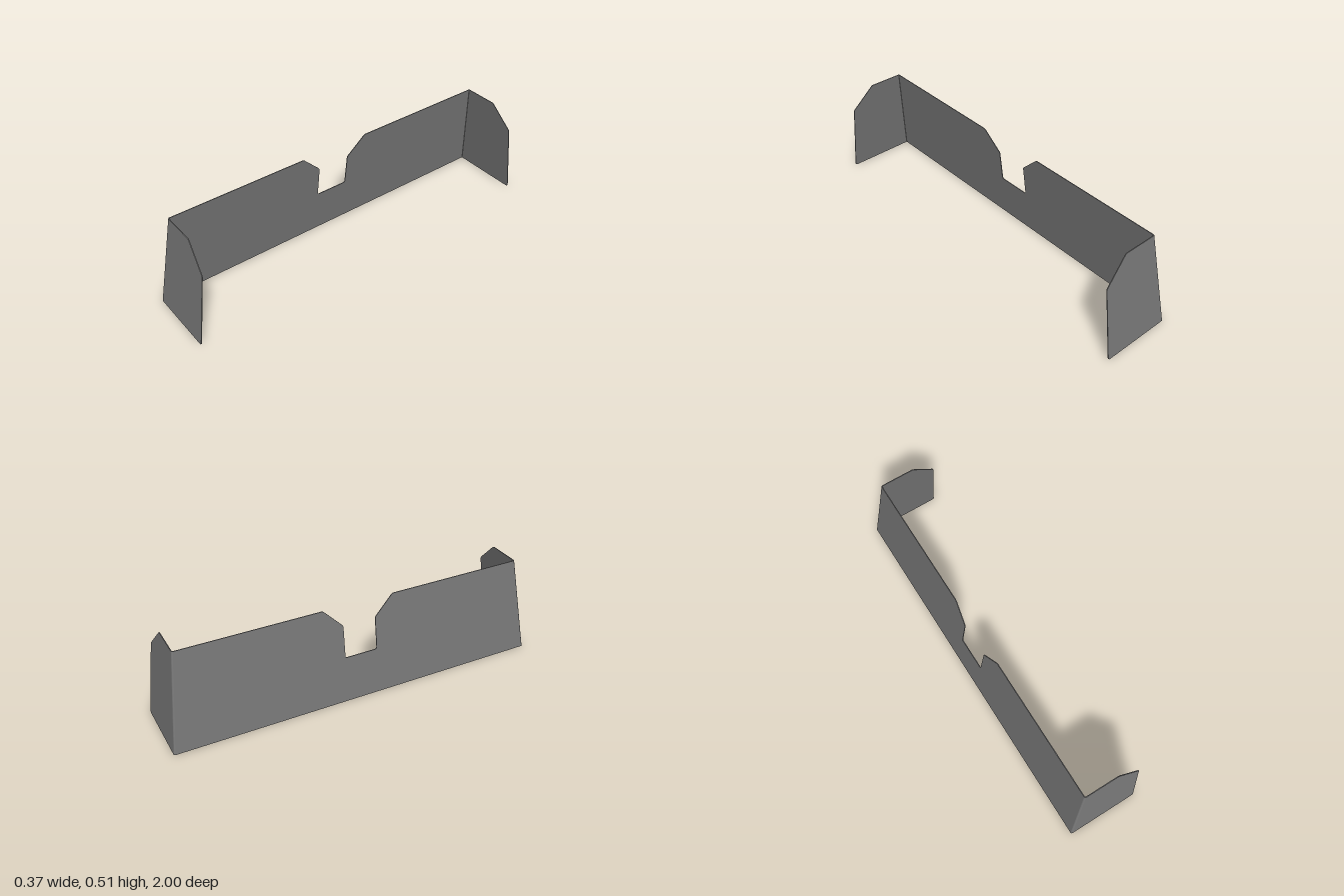
import * as THREE from 'three';

const H = 0.515;      // height
const K = 0.131;      // inward lean per unit of height
const T = 0.004;      // sheet thickness
const R = 0.008;      // outer radius of the corner bends
const BACK = -0.1875; // outer face of the long wall at the ground

// Polygon whose corners [x, y, r] are rounded by r.
function roundedShape(points) {
  const shape = new THREE.Shape();
  const n = points.length;
  points.forEach(([x, y, r = 0], i) => {
    const p = new THREE.Vector2(x, y);
    const toward = ([a, b]) => new THREE.Vector2(a, b).sub(p).setLength(r).add(p);
    const a = toward(points[(i + n - 1) % n]);
    const b = toward(points[(i + 1) % n]);
    if (i === 0) shape.moveTo(a.x, a.y);
    else shape.lineTo(a.x, a.y);
    if (r > 0) shape.quadraticCurveTo(x, y, b.x, b.y);
  });
  shape.closePath();
  return shape;
}

const extrude = (shape, depth) =>
  new THREE.ExtrudeGeometry(shape, { depth, bevelEnabled: false, curveSegments: 6 });

// Lean a geometry by kx and kz per unit of height.
function lean(geometry, kx, kz) {
  const p = geometry.attributes.position;
  for (let i = 0; i < p.count; i++) {
    const y = p.getY(i);
    p.setX(i, p.getX(i) + kx * y);
    p.setZ(i, p.getZ(i) + kz * y);
  }
  geometry.computeVertexNormals();
  return geometry;
}

export function createModel() {
  const group = new THREE.Group();
  const steel = new THREE.MeshStandardMaterial({ color: 0x767676 });
  steel.name = 'grey sheet metal';
  const add = (name, geometry) => {
    const mesh = new THREE.Mesh(geometry, steel);
    mesh.name = name;
    group.add(mesh);
  };

  // Long wall with the chamfered slot in its top edge
  const end = 1 - R;
  const half = [
    [end, 0], [end - K * H, H], [0.19, H, 0.008], [0.088, 0.413, 0.008], [0.088, 0.24, 0.012],
  ];
  const mirrored = half.map(([z, y, r]) => [-z, y, r]).reverse();
  const wall = extrude(roundedShape([...half, ...mirrored]), T);
  wall.rotateY(-Math.PI / 2).translate(BACK + T, 0, 0);
  add('longWall', lean(wall, K, 0));

  // End wings and the rounded bends that join them to the wall
  const wingShape = roundedShape([
    [BACK + R, 0], [0.1865, 0, 0.013], [0.1865, 0.393, 0.008],
    [0.065, H, 0.008], [BACK + R + K * H, H],
  ]);
  for (const [side, s] of [['left', 1], ['right', -1]]) {
    const wing = extrude(wingShape, T);
    wing.translate(0, 0, s * (1 - T / 2) - T / 2);
    add(side === 'left' ? 'frontWing' : 'backWing', lean(wing, 0, -s * K));

    const arc = new THREE.Shape();
    const from = Math.PI;
    const to = Math.PI + s * Math.PI / 2;
    arc.absarc(0, 0, R, from, to, s < 0);
    arc.absarc(0, 0, R - T, to, from, s > 0);
    arc.closePath();
    const bend = extrude(arc, H);
    bend.rotateX(-Math.PI / 2).translate(BACK + R, 0, s * (1 - R));
    add(side === 'left' ? 'frontBend' : 'backBend', lean(bend, K, -s * K));
  }
  return group;
}
